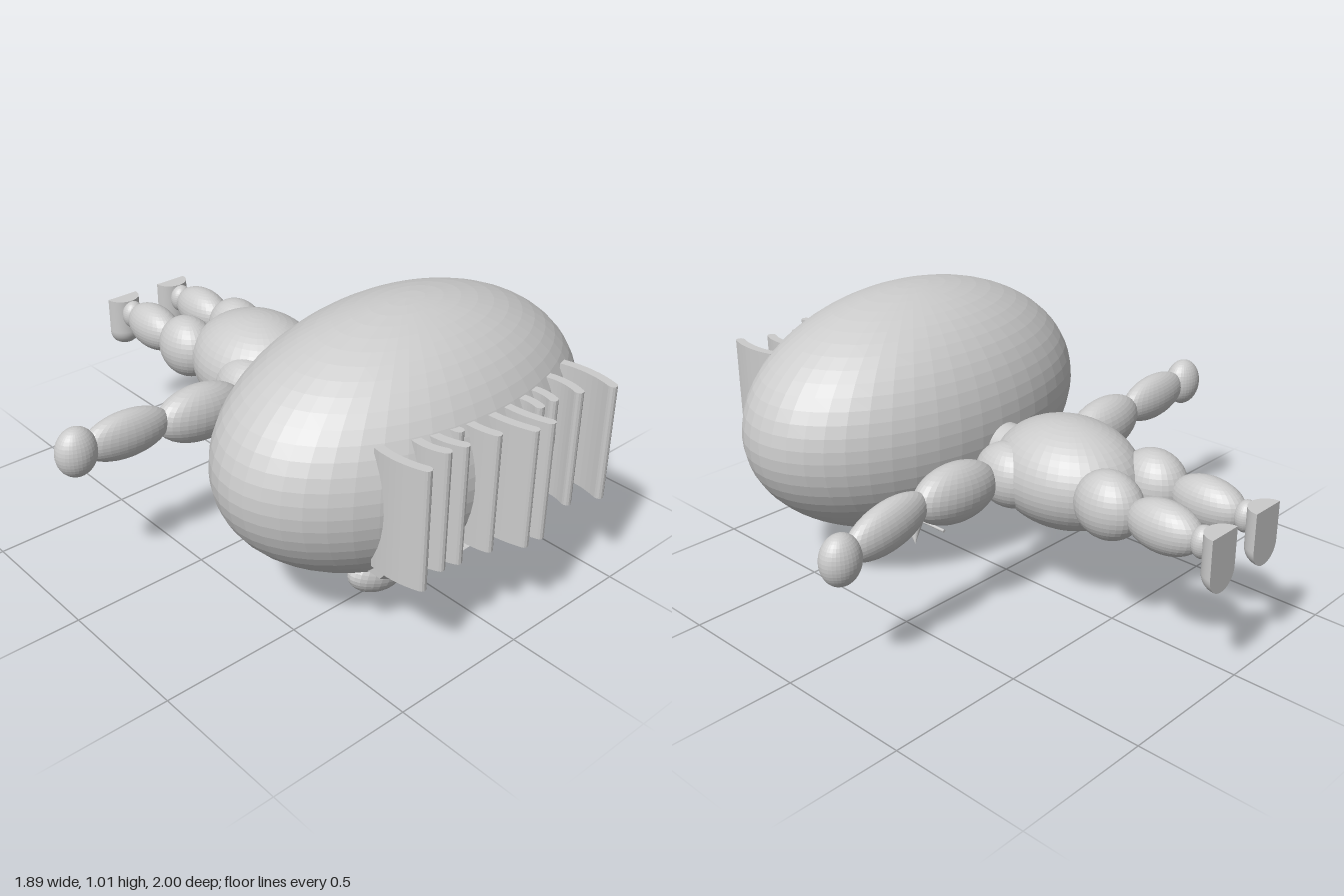
import * as THREE from 'three';

const flat = new THREE.MeshStandardMaterial({ color: 0xcccccc, flatShading: true });
const smooth = new THREE.MeshStandardMaterial({ color: 0xcccccc, side: THREE.DoubleSide });
const HEAD = { x: 0.015, y: 0.57, z: 0.447, rx: 0.72, ry: 0.443, rz: 0.445 };

export function createModel() {
  const model = new THREE.Group();
  model.name = 'figure';

  function add(name, geometry, material, x = 0, y = 0, z = 0) {
    const mesh = new THREE.Mesh(geometry, material);
    mesh.name = name;
    mesh.position.set(x, y, z);
    model.add(mesh);
    return mesh;
  }

  function ellipsoid(name, [x, y, z], [rx, ry, rz], w = 32, h = 20) {
    const mesh = add(name, new THREE.SphereGeometry(1, w, h), flat, x, y, z);
    mesh.scale.set(rx, ry, rz);
    return mesh;
  }

  // Ellipsoid stretched between two points
  function limb(name, a, b, ry, rz) {
    const from = new THREE.Vector3(...a), to = new THREE.Vector3(...b);
    const mid = from.clone().add(to).multiplyScalar(0.5);
    const mesh = ellipsoid(name, mid.toArray(), [from.distanceTo(to) / 2, ry, rz]);
    mesh.rotation.z = Math.atan2(to.y - from.y, to.x - from.x);
  }

  // Head, neck and torso, laid along z
  ellipsoid('head', [HEAD.x, HEAD.y, HEAD.z], [HEAD.rx, HEAD.ry, HEAD.rz], 48, 32);
  add('neck', new THREE.CylinderGeometry(0.085, 0.085, 0.18, 32), smooth, 0, 0.505, -0.03).rotation.x = Math.PI / 2;
  ellipsoid('torso', [0.005, 0.5, -0.29], [0.225, 0.19, 0.275], 40, 28);

  // Arms: the left one hangs a little lower
  for (const [side, s, elbowY, wristY, handY] of [['left', 1, 0.52, 0.455, 0.447], ['right', -1, 0.525, 0.54, 0.54]]) {
    ellipsoid(side + 'Shoulder', [s * 0.15, 0.495, -0.16], [0.1, 0.115, 0.135]);
    limb(side + 'UpperArm', [s * 0.2, 0.485, -0.13], [s * 0.56, elbowY - 0.005, -0.13], 0.105, 0.08);
    limb(side + 'Forearm', [s * 0.51, elbowY, -0.13], [s * 0.85, wristY, -0.13], 0.085, 0.058);
    ellipsoid(side + 'Hand', [s * 0.872, handY, -0.13], [0.074, 0.088, 0.06]);
  }

  // Legs with half-round, flat-soled feet
  for (const [side, s] of [['left', 1], ['right', -1]]) {
    const x = s * 0.117;
    ellipsoid(side + 'Thigh', [x, 0.505, -0.56], [0.1, 0.117, 0.125]);
    ellipsoid(side + 'Shin', [x, 0.505, -0.78], [0.077, 0.088, 0.14]);
    ellipsoid(side + 'Ankle', [x, 0.505, -0.925], [0.045, 0.055, 0.04]);
    const foot = new THREE.Group();
    foot.name = side + 'Foot';
    foot.position.set(x, 0, -1);
    const r = 0.065;
    const instep = new THREE.Mesh(new THREE.CylinderGeometry(r, r, 0.135, 20, 1, false, -Math.PI / 2, Math.PI), smooth);
    instep.position.y = 0.4925;
    const toe = new THREE.Mesh(new THREE.SphereGeometry(r, 20, 8, 0, Math.PI, Math.PI / 2, Math.PI / 2), smooth);
    toe.position.y = 0.425;
    const outline = new THREE.Shape();
    outline.moveTo(-r, 0.56);
    outline.lineTo(-r, 0.425);
    outline.absarc(0, 0.425, r, Math.PI, 2 * Math.PI, false);
    outline.lineTo(r, 0.56);
    const sole = new THREE.Mesh(new THREE.ShapeGeometry(outline), smooth);
    [instep, toe, sole].forEach((part, i) => { part.name = ['instep', 'toe', 'sole'][i]; foot.add(part); });
    model.add(foot);
  }

  // Hair: upright slats, each a bowed round-tipped strip (start x,z, end x,z, bow)
  const slats = [
    [-0.392, 0.755, -0.373, 0.93, -0.012], [-0.28, 0.79, -0.262, 0.9, -0.01], [-0.222, 0.79, -0.198, 0.91, -0.01],
    [-0.16, 0.8, -0.15, 0.842, 0], [-0.092, 0.8, -0.082, 0.93, -0.008], [-0.005, 0.8, 0.02, 0.985, -0.01],
    [0.07, 0.8, 0.09, 0.988, -0.012], [0.132, 0.8, 0.138, 0.905, 0.01], [0.2, 0.79, 0.203, 0.905, 0.012],
    [0.31, 0.79, 0.302, 0.925, 0.012], [0.418, 0.765, 0.412, 0.97, 0.016]];
  for (const [x0, z0, x1, z1, bow] of slats) {
    const curve = new THREE.QuadraticBezierCurve(new THREE.Vector2(x0, -z0),
      new THREE.Vector2((x0 + x1) / 2 + 2 * bow, -(z0 + z1) / 2), new THREE.Vector2(x1, -z1));
    const half = 0.016, edges = [[], []];
    for (let i = 0; i <= 8; i++) {
      const p = curve.getPoint(i / 8), t = curve.getTangent(i / 8);
      [1, -1].forEach((k, e) => edges[e].push(new THREE.Vector2(p.x - k * t.y * half, p.y + k * t.x * half)));
    }
    const t = curve.getTangent(1), tip = [];
    for (let i = 1; i < 6; i++) {
      const a = Math.PI / 2 - i * Math.PI / 6, c = Math.cos(a) * half, n = Math.sin(a) * half;
      tip.push(new THREE.Vector2(x1 + t.x * c - t.y * n, -z1 + t.y * c + t.x * n));
    }
    const shape = new THREE.Shape([...edges[0], ...tip, ...edges[1].reverse()]);
    const strip = new THREE.ExtrudeGeometry(shape, { depth: 0.415, bevelEnabled: false });
    add('hairSlat', strip, flat, 0, 0.36, 0).rotation.x = -Math.PI / 2;
  }

  // Brow: crescent band wrapped around the front of the head
  const onHead = (x, y, k) => {
    const d = 1 - ((x - HEAD.x) / (HEAD.rx * k)) ** 2 - ((y - HEAD.y) / (HEAD.ry * k)) ** 2;
    return HEAD.z + HEAD.rz * k * Math.sqrt(Math.max(d, 0.02));
  };
  const points = [], index = [], steps = 28;
  for (let i = 0; i <= steps; i++) {
    const u = (i / steps) * 2 - 1, x = 0.03 + 0.39 * u;
    const top = 0.19 + 0.17 * u * u - 0.022 * u, low = 0.148 + 0.112 * u * u - 0.022 * u;
    for (const [y, k] of [[top, 0.98], [top, 1.07], [low, 1.07], [low, 0.98]]) points.push(x, y, onHead(x, y, k));
    if (i < steps) for (let j = 0; j < 4; j++) {
      const a = i * 4 + j, b = i * 4 + (j + 1) % 4;
      index.push(a, b, a + 4, b, b + 4, a + 4);
    }
  }
  const end = steps * 4;
  index.push(0, 2, 1, 0, 3, 2, end, end + 1, end + 2, end, end + 2, end + 3);
  const band = new THREE.BufferGeometry();
  band.setAttribute('position', new THREE.Float32BufferAttribute(points, 3));
  band.setIndex(index);
  band.computeVertexNormals();
  const bandMaterial = flat.clone();
  bandMaterial.side = THREE.DoubleSide;
  add('brow', band, bandMaterial);

  // Face on the underside: eyes, nose and mouth
  ellipsoid('rightEye', [-0.27, 0.21, 0.64], [0.12, 0.07, 0.06], 24, 16).rotation.z = -0.3;
  ellipsoid('leftEye', [0.26, 0.22, 0.68], [0.09, 0.065, 0.04], 24, 16).rotation.z = 0.3;
  const base = new THREE.Vector3(0.03, 0.16, 0.475), tip = new THREE.Vector3(0.095, 0.005, 0.39);
  const axis = tip.clone().sub(base);
  const nose = add('nose', new THREE.ConeGeometry(0.085, axis.length(), 32), smooth);
  nose.position.copy(base).addScaledVector(axis, 0.5);
  nose.quaternion.setFromUnitVectors(new THREE.Vector3(0, 1, 0), axis.normalize());
  add('mouth', new THREE.CylinderGeometry(0.006, 0.006, 0.14, 10), smooth, 0.05, 0.084, 0.345).rotation.x = Math.PI / 2;

  return model;
}
